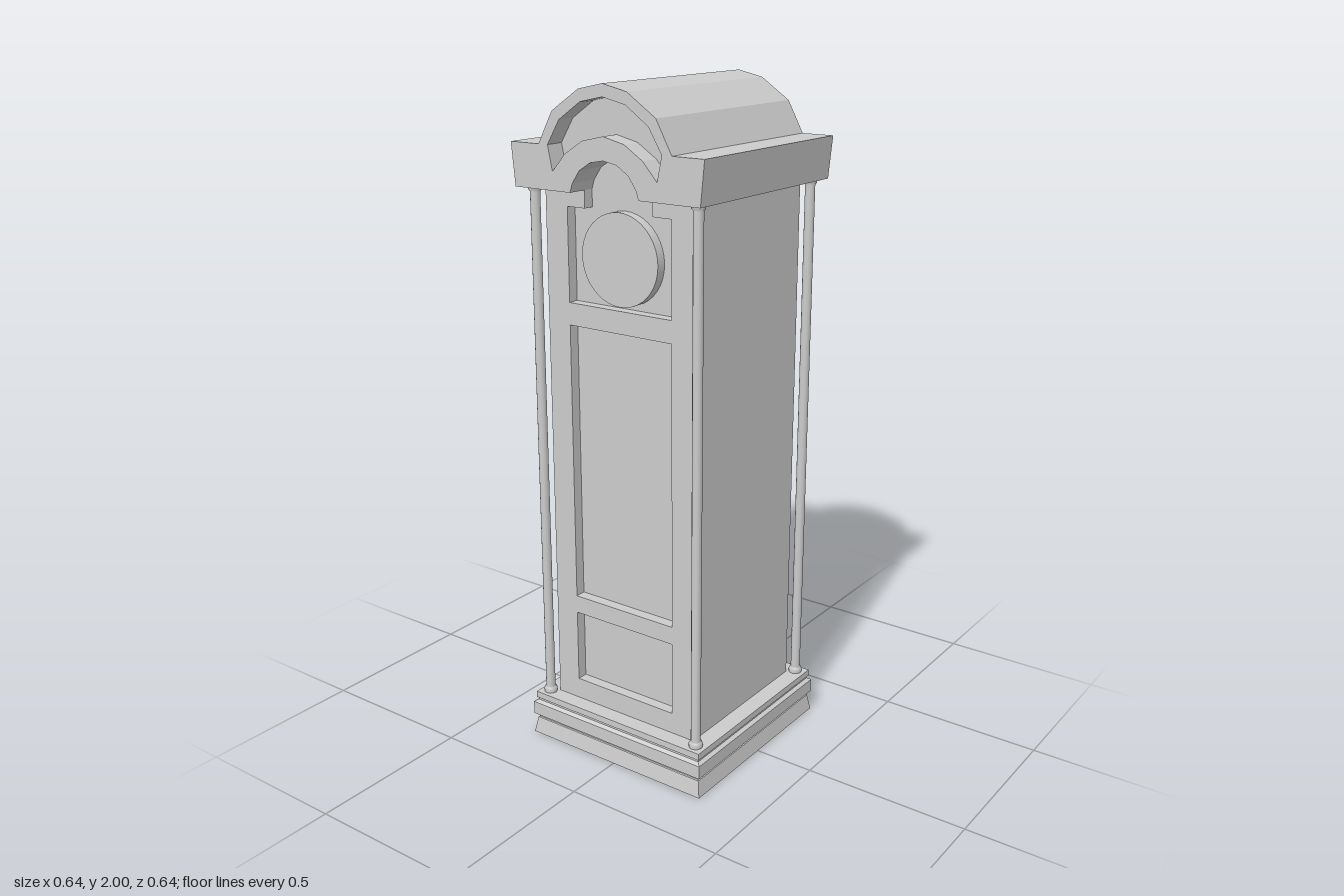
import * as THREE from 'three';

const grey = new THREE.MeshStandardMaterial({ color: 0xcccccc });
grey.name = 'plain grey';

const DEPTH = 0.318;       // half depth of the crown
const PANEL_Z = 0.225;     // floor of the front recesses
const BODY_X = 0.254, BODY_Z = 0.258;
const BASE_TOP = 0.14, BODY_TOP = 1.71;

const pts = (list) => list.map(([x, y]) => new THREE.Vector2(x, y));
// mirrors a right-hand run of points that ends on the centre line
const mirrored = (right) => [...right, ...right.slice(0, -1).reverse().map(([x, y]) => [-x, y])];
const rect = (x, y0, y1) => [[-x, y0], [x, y0], [x, y1], [-x, y1]];

function add(group, name, geometry) {
  const mesh = new THREE.Mesh(geometry, grey);
  mesh.name = name;
  group.add(mesh);
  return mesh;
}

// extrudes an outline with holes between two depths
function slab(group, name, outline, z0, z1, holes = []) {
  const shape = new THREE.Shape(pts(outline));
  for (const h of holes) shape.holes.push(new THREE.Path(pts(h)));
  const geo = new THREE.ExtrudeGeometry(shape, { depth: z1 - z0, bevelEnabled: false });
  geo.translate(0, 0, z0);
  return add(group, name, geo);
}

export function createModel() {
  const model = new THREE.Group();
  model.name = 'longcaseClock';

  // stepped square plinth: a four-sided lathe with flat faces
  const profile = [
    [0, 0], [0.315, 0], [0.306, 0.05], [0.303, 0.052], [0.303, 0.058], [0.315, 0.064],
    [0.315, 0.105], [0.304, 0.112], [0.304, 0.118], [0.308, 0.12], [0.308, BASE_TOP], [0, BASE_TOP],
  ].map(([r, y]) => [r * Math.SQRT2, y]);
  const plinth = new THREE.LatheGeometry(pts(profile), 4).rotateY(Math.PI / 4).toNonIndexed();
  plinth.computeVertexNormals();
  add(model, 'plinth', plinth);

  // case: solid core with a panelled front frame
  slab(model, 'caseCore', rect(BODY_X, BASE_TOP, BODY_TOP), -BODY_Z, PANEL_Z);
  const frame = [
    [-BODY_X, BASE_TOP], [BODY_X, BASE_TOP], [BODY_X, BODY_TOP], [0.115, BODY_TOP], [0.115, 1.66],
    [0.177, 1.66], [0.177, 1.39], [-0.177, 1.39], [-0.177, 1.66], [-0.115, 1.66],
    [-0.115, BODY_TOP], [-BODY_X, BODY_TOP],
  ];
  slab(model, 'frontFrame', frame, PANEL_Z, BODY_Z, [rect(0.177, 0.205, 0.43), rect(0.177, 0.485, 1.325)]);

  // dial
  const dial = add(model, 'dial', new THREE.CylinderGeometry(0.13, 0.13, 0.03, 40));
  dial.rotation.x = Math.PI / 2;
  dial.position.set(0, 1.53, PANEL_Z + 0.015);

  // crown: arched block, then front layers with the dial arch and curved groove
  const top = mirrored([[0.31, BODY_TOP], [0.322, 1.832], [0.222, 1.832], [0.172, 1.922], [0.08, 1.983], [0, 2]]);
  const arch = mirrored([[0.115, BODY_TOP], [0.107, 1.735], [0.082, 1.771], [0.044, 1.795], [0, 1.803]]);
  const archedTop = [...top, ...arch.reverse()];
  const groove = [
    ...mirrored([[0.175, 1.762], [0.19, 1.832], [0.148, 1.9], [0.075, 1.95], [0, 1.966]]),
    ...mirrored([[0.13, 1.812], [0.07, 1.85], [0, 1.866]]).reverse(),
  ];
  slab(model, 'crown', top, -DEPTH, PANEL_Z);
  slab(model, 'crownArch', archedTop, PANEL_Z, 0.26);
  slab(model, 'crownFace', archedTop, 0.26, DEPTH, [groove]);

  // corner columns with small feet and capitals
  const column = new THREE.LatheGeometry(pts([
    [0.02, BASE_TOP], [0.021, 0.15], [0.018, 0.157], [0.0145, 0.16],
    [0.0145, 1.695], [0.019, 1.7], [0.019, BODY_TOP],
  ]), 12);
  for (const x of [-1, 1]) for (const z of [-1, 1]) {
    add(model, 'column', column).position.set(x * 0.276, 0, z * 0.277);
  }
  return model;
}
